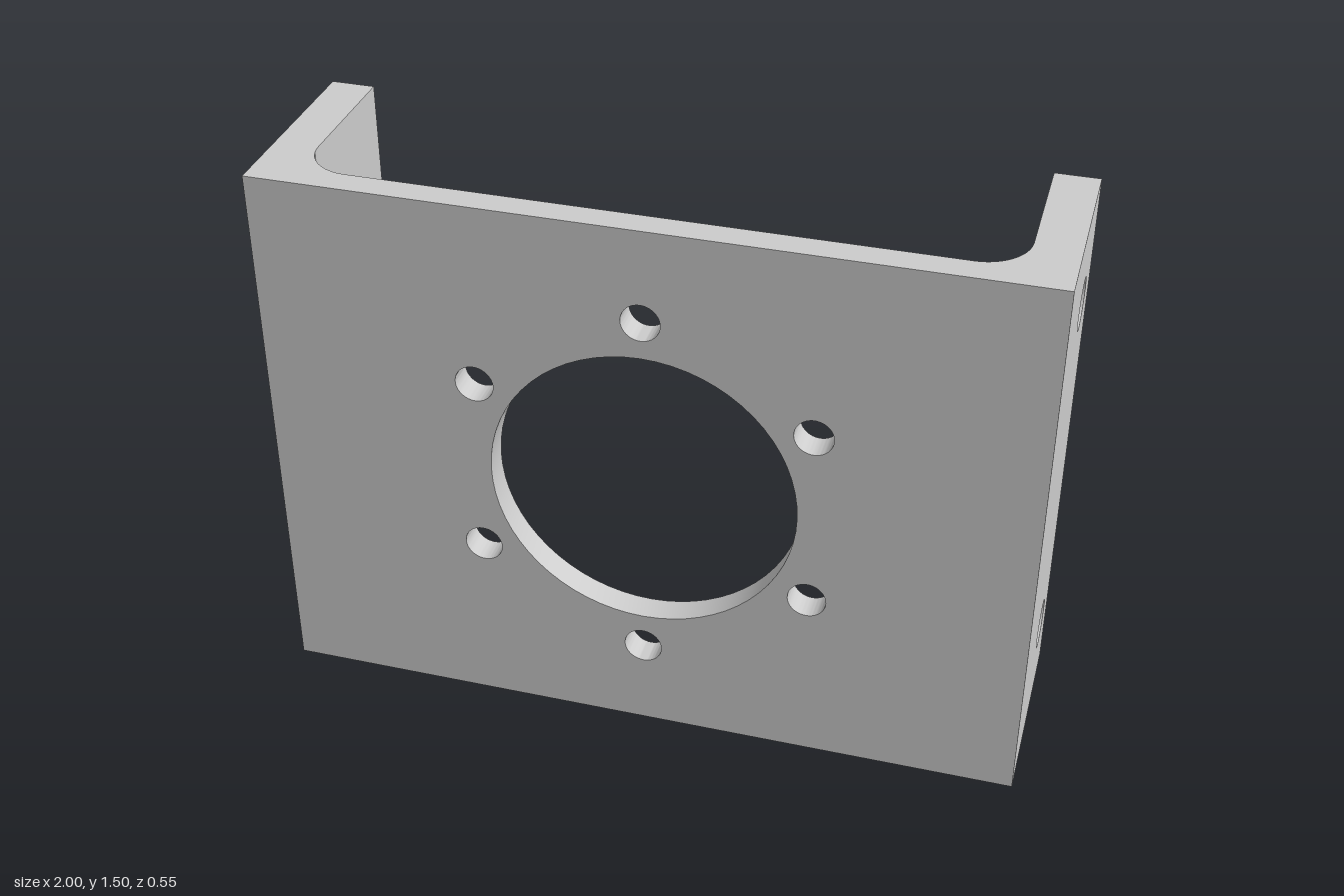
import * as THREE from 'three';
import { toCreasedNormals } from 'three/addons/utils/BufferGeometryUtils.js';

const HEIGHT = 1.5, BACK = -0.275, FRONT = 0.275;
const WEB = 0.075, FLANGE = 0.115, FILLET = 0.12;
const INNER_X = 1 - FLANGE, INNER_Z = FRONT - WEB;
const SEAM_X = INNER_X - FILLET, SEAM_Z = INNER_Z - FILLET; // where the fillet starts

function rectangle(x0, y0, x1, y1) {
  return new THREE.Shape([[x0, y0], [x1, y0], [x1, y1], [x0, y1]].map(([x, y]) => new THREE.Vector2(x, y)));
}

function addHole(shape, x, y, radius) {
  shape.holes.push(new THREE.Path().absarc(x, y, radius, 0, Math.PI * 2, true));
}

function extrude(shape, depth) {
  return new THREE.ExtrudeGeometry(shape, { depth, bevelEnabled: false, curveSegments: 32 });
}

// Removes the hidden faces where two parts join, then smooths the round surfaces
function finish(geometry) {
  const p = geometry.attributes.position;
  const kept = [];
  const near = (a, b) => Math.abs(a - b) < 1e-5;
  for (let i = 0; i < p.count; i += 3) {
    const corners = [i, i + 1, i + 2];
    const onSeam = corners.every(j => near(p.getX(j), SEAM_X))
      || corners.every(j => near(p.getX(j), -SEAM_X))
      || corners.every(j => near(p.getZ(j), SEAM_Z));
    if (!onSeam) corners.forEach(j => kept.push(p.getX(j), p.getY(j), p.getZ(j)));
  }
  const result = new THREE.BufferGeometry();
  result.setAttribute('position', new THREE.Float32BufferAttribute(kept, 3));
  return toCreasedNormals(result, 0.5);
}

// Front plate with the large bore and its ring of six bolt holes
function webGeometry() {
  const shape = rectangle(-SEAM_X, 0, SEAM_X, HEIGHT);
  addHole(shape, 0, HEIGHT / 2, 0.4);
  for (let i = 0; i < 6; i++) {
    const a = Math.PI / 2 + i * Math.PI / 3;
    addHole(shape, 0.5 * Math.cos(a), HEIGHT / 2 + 0.5 * Math.sin(a), 0.05);
  }
  return extrude(shape, WEB).translate(0, 0, INNER_Z);
}

// Upright corner: square outside, rounded inside
function cornerGeometry(side) {
  const shape = new THREE.Shape();
  shape.moveTo(side * SEAM_X, FRONT);
  shape.lineTo(side, FRONT);
  shape.lineTo(side, SEAM_Z);
  shape.lineTo(side * INNER_X, SEAM_Z);
  shape.absarc(side * SEAM_X, SEAM_Z, FILLET, side > 0 ? 0 : Math.PI, Math.PI / 2, side < 0);
  shape.closePath();
  return extrude(shape, HEIGHT).rotateX(Math.PI / 2).translate(0, HEIGHT, 0);
}

// Side flange with two mounting holes
function flangeGeometry(side) {
  const shape = rectangle(BACK, 0, SEAM_Z, HEIGHT);
  for (const y of [0.25, 1.25]) addHole(shape, -0.1, y, 0.067);
  return extrude(shape, FLANGE).rotateY(-Math.PI / 2).translate(side > 0 ? 1 : -INNER_X, 0, 0);
}

export function createModel() {
  const metal = new THREE.MeshStandardMaterial({ color: 0xcccccc });
  metal.name = 'light grey metal';
  const bracket = new THREE.Group();
  bracket.name = 'mountingBracket';
  const add = (name, geometry) => {
    const mesh = new THREE.Mesh(finish(geometry), metal);
    mesh.name = name;
    bracket.add(mesh);
  };

  add('frontPlate', webGeometry());
  for (const [label, side] of [['left', 1], ['right', -1]]) {
    add(label + 'Corner', cornerGeometry(side));
    add(label + 'Flange', flangeGeometry(side));
  }
  return bracket;
}
